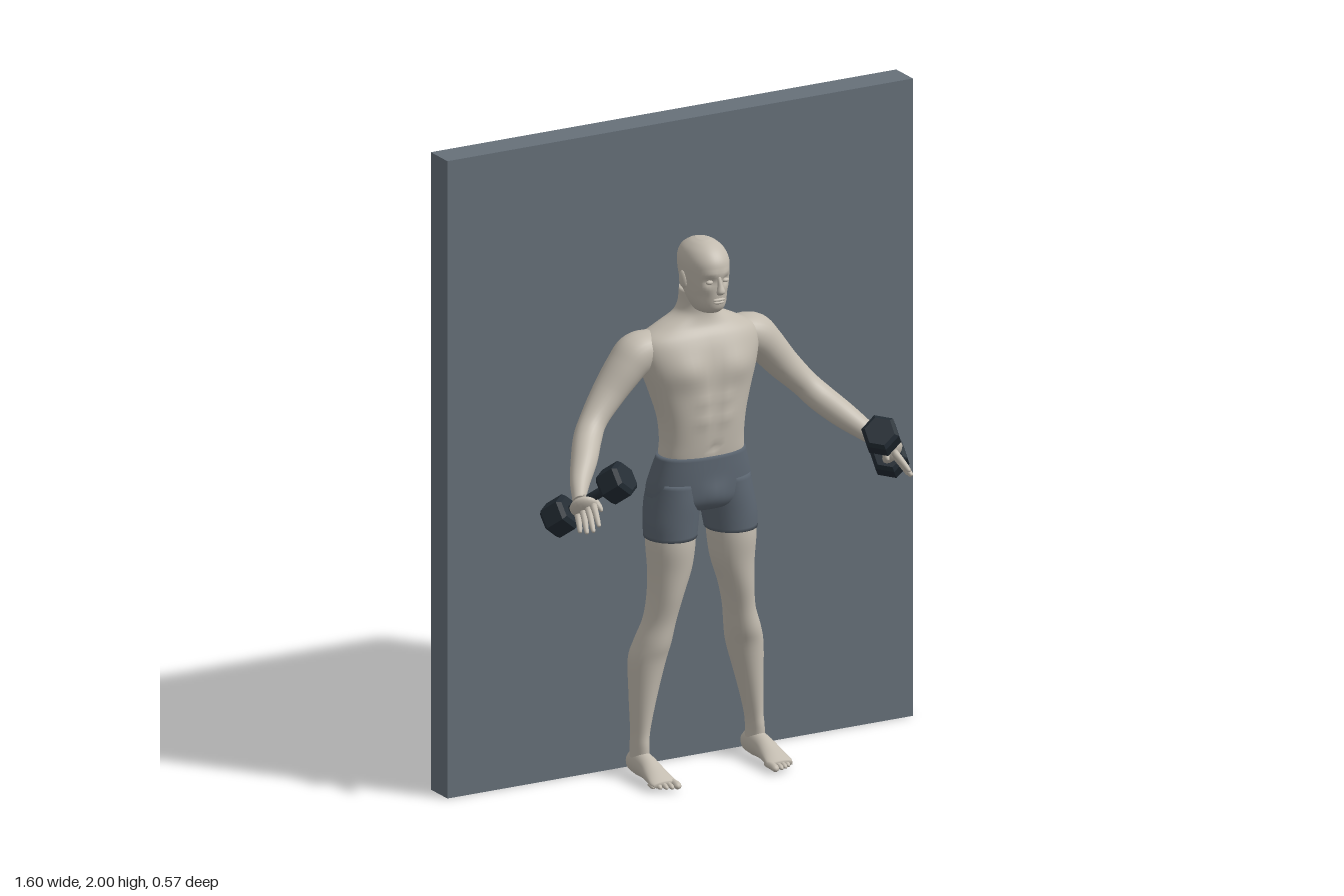
import * as THREE from 'three';
import { toCreasedNormals } from 'three/addons/utils/BufferGeometryUtils.js';

const material = (name, color) => {
  const m = new THREE.MeshStandardMaterial({ color });
  m.name = name;
  return m;
};

// Smooth body from cross-sections [x, y, z, half width, half depth].
// level: rings stay horizontal; n: roundness exponent; shape: moves each vertex.
function loft(rows, { level = false, n = 2, seg = 28, sub = 5, shape } = {}) {
  const centres = new THREE.CatmullRomCurve3(rows.map(r => new THREE.Vector3(r[0], r[1], r[2])), false, 'catmullrom', 0.5);
  const radii = new THREE.CatmullRomCurve3(rows.map(r => new THREE.Vector3(r[3], r[4], 0)), false, 'catmullrom', 0.5);
  const steps = (rows.length - 1) * sub, pos = [], idx = [];
  const bend = v => Math.sign(v) * Math.abs(v) ** (2 / n);
  for (let i = 0; i <= steps; i++) {
    const c = centres.getPoint(i / steps), r = radii.getPoint(i / steps);
    const t = centres.getTangent(i / steps);
    if (level) t.set(0, Math.sign(t.y), 0);
    const u = new THREE.Vector3(1, 0, 0).addScaledVector(t, -t.x).normalize();
    const v = new THREE.Vector3().crossVectors(t, u);
    for (let j = 0; j < seg; j++) {
      const a = j / seg * Math.PI * 2;
      const p = c.clone().addScaledVector(u, r.x * bend(Math.cos(a))).addScaledVector(v, r.y * bend(Math.sin(a)));
      if (shape) shape(p, c);
      pos.push(p.x, p.y, p.z);
    }
  }
  for (let i = 0; i < steps; i++) for (let j = 0; j < seg; j++) {
    const k = (j + 1) % seg, a = i * seg + j, b = i * seg + k;
    idx.push(a, b, b + seg, a, b + seg, a + seg);
  }
  // end caps
  const first = rows[0], last = rows[rows.length - 1], c0 = pos.length / 3;
  pos.push(first[0], first[1], first[2], last[0], last[1], last[2]);
  for (let j = 0; j < seg; j++) {
    const k = (j + 1) % seg, e = steps * seg;
    idx.push(c0, k, j, c0 + 1, e + j, e + k);
  }
  const g = new THREE.BufferGeometry();
  g.setAttribute('position', new THREE.Float32BufferAttribute(pos, 3));
  g.setIndex(idx);
  g.computeVertexNormals();
  return g;
}

// Centred row from height, half width, front z and back z
const slab = ([y, w, f, b]) => [0, y, (f + b) / 2, w, (f - b) / 2];
const bump = (d, width) => Math.exp(-((d / width) ** 2));

export function createModel() {
  const model = new THREE.Group();
  const skin = material('skin', 0xc2bbaf);
  const cloth = material('shorts grey', 0x5b6570);
  const slate = material('wall slate', 0x667079);
  const iron = material('dark iron', 0x232c34);

  const add = (name, geometry, mat, parent = model) => {
    const mesh = new THREE.Mesh(geometry, mat);
    mesh.name = name;
    parent.add(mesh);
    return mesh;
  };
  const ball = (name, p, s, parent = model) => {
    const m = add(name, new THREE.SphereGeometry(1, 16, 12), skin, parent);
    m.position.set(...p);
    m.scale.set(...s);
    return m;
  };

  // Wall panel behind the figure
  add('wall', new THREE.BoxGeometry(1.6, 2, 0.1), slate).position.set(0, 1, -0.24);

  // Torso and neck, with chest, stomach and spine modelling
  add('torso', loft([
    [0.97, 0.13, 0.008, -0.14], [1.0, 0.137, 0.014, -0.146], [1.05, 0.135, 0.02, -0.145],
    [1.12, 0.142, 0.025, -0.152], [1.2, 0.165, 0.024, -0.17], [1.27, 0.188, 0.02, -0.183],
    [1.33, 0.2, 0.008, -0.183], [1.37, 0.188, -0.008, -0.175], [1.4, 0.135, -0.028, -0.163],
    [1.43, 0.076, -0.036, -0.152], [1.46, 0.057, -0.034, -0.145], [1.51, 0.054, -0.025, -0.14],
  ].map(slab), {
    level: true, n: 2.3, seg: 56, shape: (p, c) => {
      const ax = Math.abs(p.x);
      if (p.z > c.z) {
        p.z += 0.014 * bump(ax - 0.085, 0.06) * bump(p.y - 1.275, 0.05);
        p.z -= 0.006 * bump(p.x, 0.014) * bump(p.y - 1.2, 0.13);
        p.z += 0.005 * bump(ax - 0.035, 0.025) * (bump(p.y - 1.18, 0.02) + bump(p.y - 1.12, 0.02));
        p.z -= 0.008 * bump(p.x, 0.008) * bump(p.y - 1.03, 0.01);
      } else {
        p.z += 0.016 * bump(p.x, 0.028) * bump(p.y - 1.23, 0.16);
      }
    },
  }), skin);

  // Head with eye sockets and brow
  add('head', loft([
    [1.447, 0.02, -0.005, -0.09], [1.455, 0.034, 0.02, -0.1], [1.47, 0.045, 0.038, -0.105],
    [1.495, 0.055, 0.044, -0.118], [1.53, 0.062, 0.046, -0.135], [1.57, 0.067, 0.047, -0.147],
    [1.61, 0.068, 0.045, -0.149], [1.64, 0.058, 0.026, -0.136], [1.66, 0.038, -0.002, -0.108],
    [1.67, 0.016, -0.03, -0.08],
  ].map(slab), {
    level: true, n: 2.15, seg: 48, shape: (p, c) => {
      if (p.z < c.z) return;
      const ax = Math.abs(p.x);
      p.z -= 0.012 * bump(ax - 0.027, 0.014) * bump(p.y - 1.558, 0.012);
      p.z += 0.004 * bump(ax - 0.02, 0.025) * bump(p.y - 1.582, 0.01);
      p.z -= 0.005 * bump(ax - 0.042, 0.014) * bump(p.y - 1.51, 0.018);
    },
  }), skin);
  add('nose', loft([
    [0, 1.575, 0.042, 0.006, 0.006], [0, 1.55, 0.05, 0.008, 0.009],
    [0, 1.53, 0.055, 0.013, 0.012], [0, 1.52, 0.05, 0.01, 0.009],
  ], { level: true, seg: 14 }), skin);
  ball('upperLip', [0, 1.502, 0.044], [0.021, 0.005, 0.007]);
  ball('lowerLip', [0, 1.493, 0.043], [0.018, 0.005, 0.007]);

  // Shorts body
  add('shortsHips', loft([
    [1.003, 0.142, 0.018, -0.15], [0.95, 0.157, 0.02, -0.166], [0.9, 0.168, 0.02, -0.18],
    [0.86, 0.165, 0.016, -0.176], [0.835, 0.12, 0, -0.15], [0.825, 0.05, -0.03, -0.11],
  ].map(slab), {
    level: true, n: 2.3, seg: 48, shape: (p, c) => {
      if (p.z < c.z) p.z += 0.018 * bump(p.x, 0.025) * bump(p.y - 0.89, 0.06);
      else p.z += 0.012 * bump(p.x, 0.04) * bump(p.y - 0.88, 0.04);
    },
  }), cloth);

  for (const s of [1, -1]) {
    const flip = rows => rows.map(([x, ...rest]) => [x * s, ...rest]);
    const side = new THREE.Group();
    side.name = s > 0 ? 'leftSide' : 'rightSide';
    model.add(side);
    const body = (name, rows, mat, options) => add(name, loft(flip(rows), options), mat, side);

    // Face details
    ball('ear', [s * 0.067, 1.55, -0.055], [0.009, 0.027, 0.016], side).rotation.set(-0.15, s * -0.3, 0);
    ball('eyelid', [s * 0.027, 1.557, 0.034], [0.012, 0.007, 0.008], side);

    // Shorts leg
    body('shortsLeg', [
      [0.085, 0.92, -0.075, 0.075, 0.088], [0.092, 0.86, -0.078, 0.081, 0.095],
      [0.1, 0.8, -0.073, 0.083, 0.09], [0.104, 0.748, -0.068, 0.08, 0.084],
    ], cloth, { level: true });

    // Leg
    body('leg', [
      [0.102, 0.78, -0.068, 0.075, 0.079], [0.105, 0.72, -0.066, 0.074, 0.079],
      [0.108, 0.65, -0.066, 0.066, 0.072], [0.121, 0.57, -0.068, 0.052, 0.066],
      [0.136, 0.49, -0.076, 0.047, 0.06], [0.154, 0.42, -0.087, 0.053, 0.066],
      [0.168, 0.36, -0.097, 0.055, 0.063], [0.183, 0.25, -0.095, 0.04, 0.05],
      [0.194, 0.15, -0.091, 0.027, 0.04], [0.198, 0.1, -0.088, 0.025, 0.041],
      [0.198, 0.05, -0.088, 0.028, 0.04],
    ], skin, { level: true });

    // Foot and toes
    body('foot', [
      [0.197, 0.034, -0.142, 0.01, 0.014], [0.197, 0.038, -0.13, 0.024, 0.03],
      [0.198, 0.046, -0.09, 0.03, 0.041], [0.199, 0.044, -0.04, 0.032, 0.037],
      [0.2, 0.033, 0.01, 0.038, 0.026], [0.2, 0.023, 0.05, 0.043, 0.016],
      [0.2, 0.019, 0.07, 0.038, 0.01],
    ], skin);
    for (let i = 0; i < 5; i++) {
      const r = i ? 0.008 : 0.012, x = i ? 0.172 + i * 0.016 : 0.168, z = 0.096 - 0.003 * i * i / 1.5;
      body('toe', [
        [x, 0.019, 0.04, r, r], [x, 0.018, z - 0.018, r, r],
        [x, 0.015, z - 0.004, r * 0.9, r * 0.85], [x, 0.013, z + 0.003, r * 0.35, r * 0.3],
      ], skin, { seg: 10, sub: 3 });
    }

    // Arm from shoulder to wrist
    body('arm', [
      [0.12, 1.345, -0.105, 0.035, 0.045], [0.155, 1.34, -0.105, 0.052, 0.062],
      [0.2, 1.322, -0.105, 0.064, 0.068], [0.24, 1.285, -0.104, 0.058, 0.064],
      [0.3, 1.215, -0.1, 0.05, 0.053], [0.36, 1.15, -0.08, 0.042, 0.044],
      [0.4, 1.105, -0.048, 0.043, 0.043], [0.445, 1.06, 0.01, 0.04, 0.04],
      [0.49, 1.018, 0.065, 0.031, 0.031], [0.52, 0.988, 0.112, 0.022, 0.024],
      [0.527, 0.978, 0.128, 0.022, 0.024],
    ], skin);

    // Dumbbell ends and axis
    const a = new THREE.Vector3(s * 0.455, 1.052, 0.222), b = new THREE.Vector3(s * 0.565, 0.925, 0.08);
    const axis = b.clone().sub(a).normalize();
    const turn = new THREE.Quaternion().setFromUnitVectors(new THREE.Vector3(0, 1, 0), axis);

    // Palm, fanned fingers and thumb
    const palm = ball('palm', [s * 0.53, 0.97, 0.158], [0.018, 0.045, 0.04], side);
    palm.quaternion.copy(turn);
    for (let i = 0; i < 4; i++) {
      const k = i / 3, L = [0.95, 1.1, 1.05, 0.85][i];
      const x = 0.517 + 0.032 * k, y = 0.982 - 0.036 * k, z = 0.192 - 0.036 * k;
      const dx = 0.018 * L, dy = -0.042 * L, dz = (0.068 - 0.022 * k) * L;
      body('finger', [0, 0.4, 0.75, 0.95, 1].map((t, j) => [
        x + dx * t, y + dy * t - 0.006 * t * t, z + dz * t,
        ...Array(2).fill([0.011, 0.0095, 0.008, 0.006, 0.003][j])]), skin, { seg: 10, sub: 3 });
    }
    body('thumb', [
      [0.522, 0.99, 0.14, 0.012, 0.012], [0.503, 0.988, 0.165, 0.012, 0.012],
      [0.494, 0.972, 0.188, 0.009, 0.009], [0.492, 0.962, 0.2, 0.004, 0.004],
    ], skin, { seg: 10, sub: 3 });

    // Dumbbell: bevelled hexagonal heads on a round grip
    const dumbbell = new THREE.Group();
    dumbbell.name = 'dumbbell';
    dumbbell.position.copy(a).add(b).multiplyScalar(0.5);
    dumbbell.quaternion.copy(turn);
    side.add(dumbbell);
    const half = a.distanceTo(b) / 2;
    add('grip', new THREE.CylinderGeometry(0.015, 0.015, half * 2, 16), iron, dumbbell);
    const profile = [[0, -0.042], [0.046, -0.042], [0.058, -0.03], [0.058, 0.03], [0.046, 0.042], [0, 0.042]];
    for (const e of [1, -1]) {
      const hex = new THREE.LatheGeometry(profile.map(p => new THREE.Vector2(...p)), 6);
      add('weight', toCreasedNormals(hex, 0.3), iron, dumbbell).position.y = e * half;
    }
  }
  return model;
}
